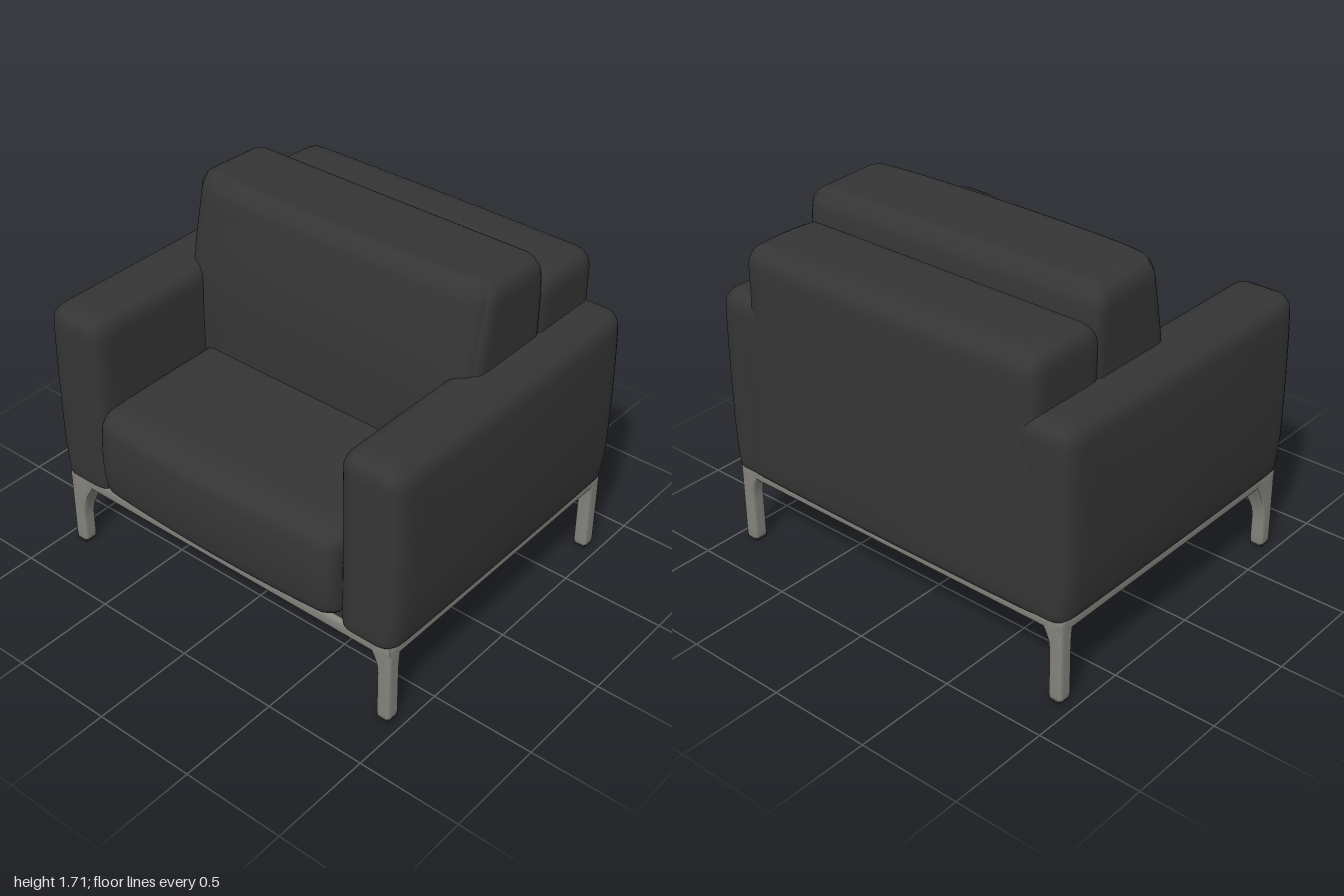
import * as THREE from 'three';
import { mergeVertices } from 'three/addons/utils/BufferGeometryUtils.js';

const smooth = (a, b, v) => THREE.MathUtils.smoothstep(v, a, b);

// Smooth rounded block between two corners; warp(p, u) may then move each vertex
// (u holds the position inside the block, -1..1 on each axis).
function softBlock(min, max, radius, segments, warp) {
  const lo = new THREE.Vector3(...min), hi = new THREE.Vector3(...max);
  const half = hi.clone().sub(lo).multiplyScalar(0.5);
  const centre = hi.clone().add(lo).multiplyScalar(0.5);
  const core = half.clone().subScalar(radius);
  const back = core.clone().negate();
  let geo = new THREE.BoxGeometry(2, 2, 2, segments, segments, segments);
  const pos = geo.attributes.position;
  const u = new THREE.Vector3(), p = new THREE.Vector3(), inner = new THREE.Vector3();
  for (let i = 0; i < pos.count; i++) {
    u.fromBufferAttribute(pos, i);
    // crowd the grid towards the rounded edges
    u.set(...u.toArray().map((c) => Math.sin((c * Math.PI) / 2)));
    p.copy(u).multiply(half);
    inner.copy(p).clamp(back, core);
    p.sub(inner).setLength(radius).add(inner).add(centre);
    if (warp) warp(p, u);
    pos.setXYZ(i, p.x, p.y, p.z);
  }
  geo.deleteAttribute('uv');
  geo.deleteAttribute('normal');
  geo = mergeVertices(geo, 1e-5);
  geo.computeVertexNormals();
  return geo;
}

export function createModel() {
  const model = new THREE.Group();
  model.name = 'armchair';

  const material = (name, color) => {
    const m = new THREE.MeshStandardMaterial({ color });
    m.name = name;
    return m;
  };
  const leather = material('black leather', 0x353535);
  const metal = material('brushed metal', 0x84837d);
  const lining = material('underside lining', 0x75736c);
  const rubber = material('rubber feet', 0x2a2a29);

  const add = (name, geo, mat) => {
    const mesh = new THREE.Mesh(geo, mat);
    mesh.name = name;
    model.add(mesh);
    return mesh;
  };

  // Arms: outer faces bulge and tuck in at the foot, bottoms are cut flat on the frame
  for (const s of [-1, 1]) {
    const x = [s * 0.67, s * 0.975].sort((a, b) => a - b);
    add(s > 0 ? 'leftArm' : 'rightArm',
      softBlock([x[0], 0.355, -0.83], [x[1], 1.31, 0.775], 0.085, 24, (p, u) => {
        if (u.x * s > 0) {
          p.x += s * 0.025 * u.x * s * (1 - u.y * u.y) * (1 - 0.6 * u.z * u.z);
          p.x -= s * 0.012 * u.x * s * (1 - smooth(0.38, 0.6, p.y));
        }
        p.y = Math.max(p.y, 0.412);
      }), leather);
  }

  // Backrest behind the loose cushion, spreading over the arm ends lower down
  add('backrest', softBlock([-0.805, 0.355, -0.83], [0.805, 1.55, -0.37], 0.085, 24, (p, u) => {
    if (u.z < 0) p.z += 0.018 * u.z * (1 - u.x * u.x) * (1 - 0.5 * u.y * u.y);
    if (u.y > 0) p.y += 0.015 * u.y * (1 - u.z * u.z);
    p.x *= 1 + 0.1 * (1 - smooth(1.05, 1.22, p.y));
    p.y = Math.max(p.y, 0.412);
  }), leather);

  // Back cushion: upper front curves back, front face bows out
  add('backCushion', softBlock([-0.805, 0.6, -0.455], [0.805, 1.715, 0.105], 0.09, 28, (p, u) => {
    const front = (u.z + 1) / 2;
    p.z -= 0.1 * front * Math.pow(smooth(1.1, 1.8, p.y), 1.2);
    p.z += front * (0.028 * (1 - u.x * u.x) - 0.03 * Math.pow(u.x, 8));
    if (u.z < 0) p.z += 0.02 * smooth(1.5, 1.72, p.y);
    p.y -= 0.015 * (1 - front) * smooth(1.5, 1.72, p.y);
  }), leather);

  // Seat cushion: crowned top and rounded front
  add('seatCushion', softBlock([-0.685, 0.415, -0.5], [0.685, 0.885, 0.79], 0.085, 28, (p, u) => {
    const bow = 1 - u.x * u.x;
    if (u.z > 0) p.z += u.z * (0.026 * bow + 0.028 * (1 - u.y * u.y));
    if (u.y > 0) p.y += 0.028 * u.y * (0.4 + 0.6 * bow) * (1 - u.z * u.z);
  }), leather);

  // Body under the cushions
  const body = add('seatBase', new THREE.BoxGeometry(1.5, 0.138, 1.5), leather);
  body.position.set(0, 0.481, -0.02);

  // Lining below the seat
  const panel = add('undersidePanel', new THREE.BoxGeometry(1.82, 0.045, 1.5), lining);
  panel.position.set(0, 0.3865, -0.025);

  // Frame rails
  const X = 0.95, FRONT = 0.755, BACK = -0.805, W = 0.07;
  const LOW = 0.352, HIGH = 0.418;
  for (const s of [-1, 1]) {
    const x = [s * X, s * (X - W)].sort((a, b) => a - b);
    add(s > 0 ? 'leftRail' : 'rightRail',
      softBlock([x[0], LOW, BACK], [x[1], HIGH, FRONT], 0.018, 8), metal);
  }
  add('frontRail', softBlock([-X, LOW, FRONT - W], [X, HIGH, FRONT], 0.018, 8), metal);
  add('backRail', softBlock([-X, LOW, BACK], [X, HIGH, BACK + W], 0.018, 8), metal);

  // Legs: [name, x side, z side, inward flare in x, in z, height where it starts]
  const legs = [
    ['frontLeftLeg', 1, 1, 0.05, 0.01, 0.27],
    ['frontRightLeg', -1, 1, 0.09, 0.08, 0.17],
    ['backLeftLeg', 1, -1, 0.05, 0.01, 0.27],
    ['backRightLeg', -1, -1, 0.05, 0.01, 0.27],
  ];
  for (const [name, sx, sz, fx, fz, start] of legs) {
    const x = [sx * X, sx * (X - 0.07)].sort((a, b) => a - b);
    const zOut = sz > 0 ? FRONT : BACK;
    const z = [zOut, zOut - sz * 0.073].sort((a, b) => a - b);
    add(name, softBlock([x[0], 0.006, z[0]], [x[1], 0.41, z[1]], 0.018, 14, (p, u) => {
      const t = Math.pow(THREE.MathUtils.clamp((p.y - start) / (0.38 - start), 0, 1), 1.6);
      p.x -= sx * fx * t * (1 - u.x * sx) / 2;
      p.z -= sz * fz * t * (1 - u.z * sz) / 2;
    }), metal);
    const foot = add(name + 'Foot', new THREE.BoxGeometry(0.058, 0.016, 0.061), rubber);
    foot.position.set((x[0] + x[1]) / 2, 0.008, (z[0] + z[1]) / 2);
  }

  return model;
}
